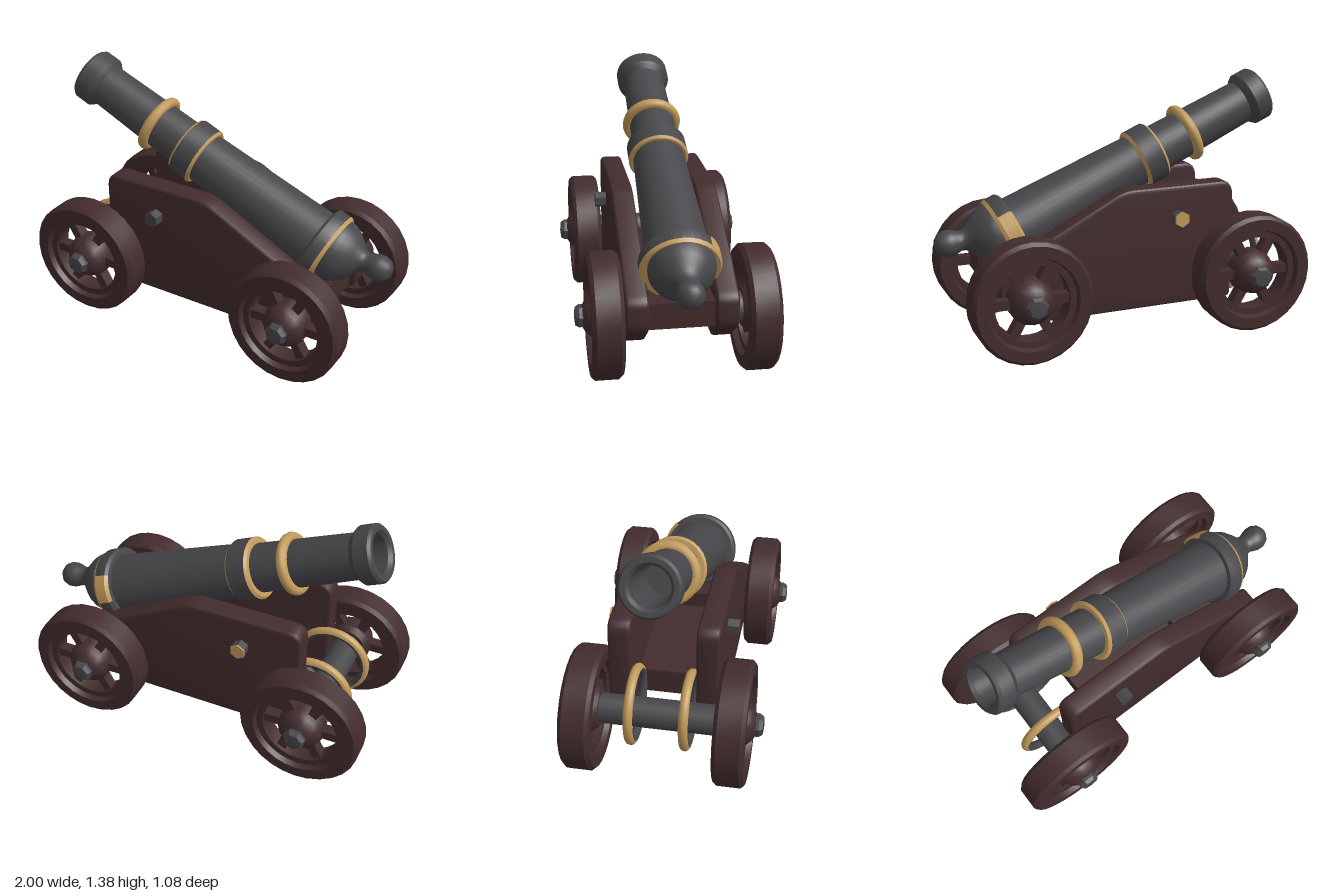
import * as THREE from 'three';
import { toCreasedNormals } from 'three/addons/utils/BufferGeometryUtils.js';

const mat = (name, color) => {
  const m = new THREE.MeshStandardMaterial({ color });
  m.name = name;
  return m;
};

export function createModel() {
  const wood = mat('dark wood', 0x432c2d);
  const iron = mat('iron', 0x47474b);
  const brass = mat('brass', 0xc19a5b);
  const model = new THREE.Group();
  model.name = 'cannon';

  const add = (parent, name, geometry, material, x = 0, y = 0, z = 0) => {
    const mesh = new THREE.Mesh(geometry, material);
    mesh.name = name;
    mesh.position.set(x, y, z);
    parent.add(mesh);
    return mesh;
  };
  const lathe = (pts, n = 32, start = 0, sweep = Math.PI * 2) => toCreasedNormals(
    new THREE.LatheGeometry(pts.map(([r, y]) => new THREE.Vector2(r, y)), n, start, sweep), 0.6);
  // Cylinder lying along z
  const rod = (r, length, n) => toCreasedNormals(
    new THREE.CylinderGeometry(r, r, length, n).rotateX(Math.PI / 2), 0.6);

  // Barrel: local y runs from the muzzle to the breech
  const barrel = new THREE.Group();
  barrel.name = 'barrel';
  barrel.position.set(-0.895, 1.248, 0);
  barrel.rotation.z = -Math.PI / 2 - 0.417;
  model.add(barrel);
  add(barrel, 'barrelTube', lathe([
    [0, 0.4], [0.09, 0.4], [0.1, 0.02], [0.115, 0], [0.14, 0], [0.152, 0.015],
    [0.152, 0.095], [0.14, 0.11], [0.12, 0.13], [0.132, 0.7],
    [0.155, 0.7], [0.166, 0.712], [0.166, 0.818], [0.155, 0.83],
    [0.143, 0.83], [0.17, 1.59], [0.195, 1.59], [0.21, 1.605],
    [0.21, 1.67], [0.2, 1.685], [0, 1.685],
  ]), iron);
  const ring = new THREE.TorusGeometry(0.138, 0.029, 10, 36).rotateX(Math.PI / 2);
  add(barrel, 'barrelRing', ring, brass, 0, 0.5);

  // Brass edges of the band and breech ring
  add(barrel, 'bandFrontTrim', lathe([[0.125, 0.697], [0.156, 0.697], [0.168, 0.711]]), brass);
  add(barrel, 'bandRearTrim', lathe([[0.168, 0.819], [0.156, 0.833], [0.14, 0.833]]), brass);
  add(barrel, 'breechTrim', lathe([[0.213, 1.668], [0.202, 1.688], [0.16, 1.688]]), brass);
  add(barrel, 'breechPatch', lathe([[0.196, 1.588], [0.213, 1.604], [0.213, 1.67]],
    6, Math.PI + 0.05, 0.75), brass);

  // Rounded breech end with neck and ball
  const knob = add(model, 'breechKnob', lathe([
    [0, 0], [0.17, 0], [0.175, 0.04], [0.163, 0.08], [0.138, 0.12], [0.102, 0.155],
    [0.071, 0.18], [0.056, 0.2], [0.053, 0.222], [0.062, 0.245], [0.071, 0.275],
    [0.071, 0.305], [0.057, 0.337], [0.032, 0.356], [0, 0.362],
  ]), iron, 0.64, 0.59);
  knob.rotation.z = -Math.PI / 2 - 0.12;

  // Carriage cheeks
  const s = new THREE.Shape();
  s.moveTo(-0.57, 0.155);
  s.lineTo(0.56, 0.155);
  s.lineTo(0.69, 0.25);
  s.quadraticCurveTo(0.73, 0.28, 0.73, 0.33);
  s.lineTo(0.73, 0.4);
  s.quadraticCurveTo(0.73, 0.44, 0.68, 0.465);
  s.lineTo(0.5, 0.58);
  s.lineTo(0.08, 0.8);
  s.quadraticCurveTo(0.03, 0.822, -0.02, 0.822);
  s.lineTo(-0.53, 0.822);
  s.quadraticCurveTo(-0.6, 0.82, -0.6, 0.74);
  s.lineTo(-0.6, 0.185);
  s.quadraticCurveTo(-0.6, 0.155, -0.57, 0.155);
  const cheek = toCreasedNormals(new THREE.ExtrudeGeometry(s, {
    depth: 0.08, bevelThickness: 0.02, bevelSize: 0.02, bevelOffset: -0.02,
    bevelSegments: 3, curveSegments: 6,
  }).translate(0, 0, -0.04), 0.5);
  add(model, 'frontCheek', cheek, wood, 0, 0, 0.23);
  add(model, 'rearCheek', cheek, wood, 0, 0, -0.23);
  add(model, 'carriageBed', new THREE.BoxGeometry(1.1, 0.14, 0.36), wood, 0.14, 0.34, 0);
  add(model, 'transom', new THREE.BoxGeometry(0.12, 0.1, 0.36), wood, 0.3, 0.45, 0);

  // Trunnion ends
  const pin = rod(0.043, 0.1, 6);
  add(model, 'frontTrunnion', pin, iron, -0.27, 0.65, 0.3);
  add(model, 'rearTrunnion', pin, iron, -0.27, 0.65, -0.29);
  add(model, 'rearTrunnionCap', rod(0.044, 0.009, 6), brass, -0.27, 0.65, -0.342);

  // Rings around the front axle: brass outside, iron inside
  const halfTube = (from) => {
    const pts = [];
    for (let i = 0; i <= 6; i++) {
      const a = from + (i / 6) * Math.PI;
      pts.push([0.19 + 0.025 * Math.cos(a), 0.025 * Math.sin(a)]);
    }
    return lathe(pts, 36).rotateX(Math.PI / 2);
  };
  const outerHalf = halfTube(-Math.PI / 2);
  const innerHalf = halfTube(Math.PI / 2);
  for (const z of [0.142, -0.142]) {
    add(model, 'axleRingOutside', outerHalf, brass, -0.64, 0.355, z);
    add(model, 'axleRingInside', innerHalf, iron, -0.64, 0.355, z);
  }

  // Axles: one across the front, two stubs at the breech end
  add(model, 'muzzleEndAxle', rod(0.08, 0.66, 16), iron, -0.67, 0.33, 0);
  for (const z of [0.28, -0.28]) {
    add(model, 'breechEndAxleStub', rod(0.08, 0.12, 16), iron, 0.6, 0.33, z);
  }

  // Wheels, built facing +z
  const rim = lathe([
    [0.205, -0.05], [0.24, -0.05], [0.25, -0.08], [0.31, -0.08], [0.328, -0.06],
    [0.328, 0.06], [0.31, 0.08], [0.25, 0.08], [0.24, 0.05], [0.205, 0.05], [0.205, -0.05],
  ], 28).rotateX(Math.PI / 2);
  const hub = lathe([
    [0, -0.07], [0.1, -0.07], [0.125, -0.04], [0.125, 0.02], [0.112, 0.06],
    [0.085, 0.092], [0.055, 0.11], [0, 0.112],
  ], 16).rotateX(Math.PI / 2);
  const cap = lathe([[0, 0.08], [0.06, 0.08], [0.062, 0.125], [0.048, 0.145], [0, 0.15]], 7)
    .rotateX(Math.PI / 2);
  const spoke = new THREE.BoxGeometry(0.14, 0.05, 0.06).translate(0.16, 0, 0);
  for (const [end, x, r] of [['muzzleEnd', -0.668, 1.01], ['breechEnd', 0.6, 0.98]]) {
    for (const side of [1, -1]) {
      const wheel = new THREE.Group();
      wheel.name = end + (side > 0 ? 'FrontWheel' : 'RearWheel');
      wheel.position.set(x, 0.328, side * 0.388);
      wheel.rotation.y = side > 0 ? 0 : Math.PI;
      wheel.scale.set(r, 1, 1);
      add(wheel, 'rim', rim, wood);
      add(wheel, 'hub', hub, wood);
      add(wheel, 'hubCap', cap, iron);
      for (let i = 0; i < 6; i++) {
        add(wheel, 'spoke', spoke, wood).rotation.z = i * Math.PI / 3;
      }
      model.add(wheel);
    }
  }
  return model;
}
